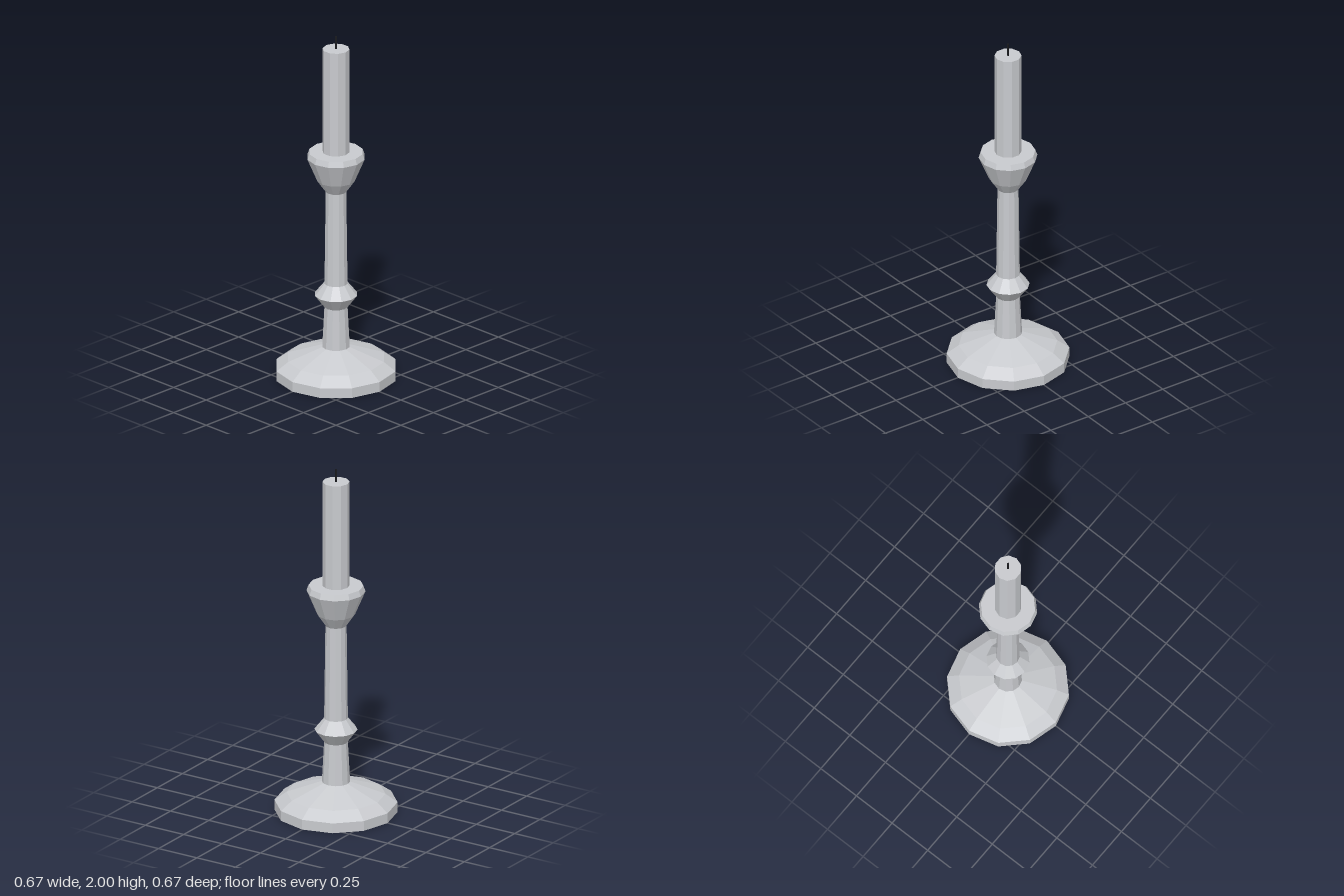
import * as THREE from 'three';

// Gives every facet its own normal for a crisp low-poly look
function faceted(geometry) {
  const flat = geometry.toNonIndexed();
  flat.computeVertexNormals();
  return flat;
}

export function createModel() {
  const group = new THREE.Group();
  group.name = 'candlestick';

  const paleGrey = new THREE.MeshStandardMaterial({ color: 0xc8cace });
  paleGrey.name = 'paleGrey';
  const wickBlack = new THREE.MeshStandardMaterial({ color: 0x17181c });
  wickBlack.name = 'wickBlack';

  function add(name, geometry, material) {
    const mesh = new THREE.Mesh(faceted(geometry), material);
    mesh.name = name;
    group.add(mesh);
    return mesh;
  }

  // Turned twelve-sided parts, each profile listed from bottom to top
  function turned(name, profile) {
    const points = profile.map(([r, y]) => new THREE.Vector2(r, y));
    return add(name, new THREE.LatheGeometry(points, 12), paleGrey);
  }

  turned('base', [[0, 0], [0.336, 0], [0.336, 0.057], [0.27, 0.105], [0.077, 0.173]]);
  turned('lowerStem', [[0.077, 0.173], [0.065, 0.407]]);
  turned('knop', [[0.065, 0.407], [0.118, 0.478], [0.065, 0.545]]);
  turned('upperStem', [[0.065, 0.545], [0.058, 1.087]]);
  turned('cup', [[0.058, 1.087], [0.105, 1.155], [0.161, 1.288], [0.15, 1.32], [0, 1.32]]);

  // Ten-sided candle standing on the cup
  add('candle', new THREE.CylinderGeometry(0.074, 0.074, 0.607, 10), paleGrey)
    .position.y = 1.6235;

  // Four-sided wick
  add('wick', new THREE.CylinderGeometry(0.007, 0.007, 0.075, 4), wickBlack)
    .position.y = 1.9625;

  return group;
}
